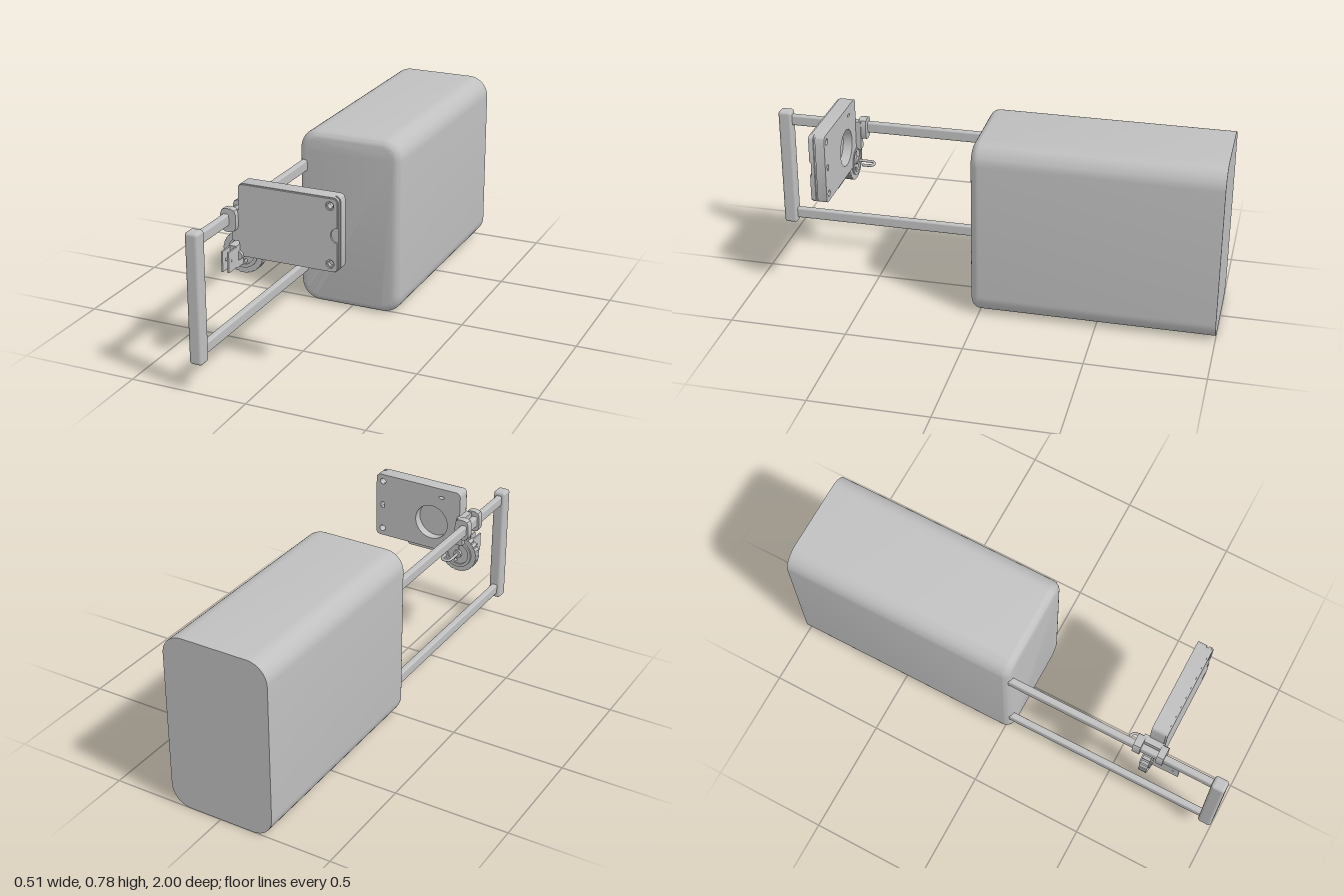
import * as THREE from 'three';
import { RoundedBoxGeometry } from 'three/addons/geometries/RoundedBoxGeometry.js';
import { toCreasedNormals } from 'three/addons/utils/BufferGeometryUtils.js';

// Points of a rounded rectangle, counter-clockwise
function roundedPoints(x0, x1, y0, y1, r, n = 10) {
  const corners = [[x1 - r, y1 - r], [x0 + r, y1 - r], [x0 + r, y0 + r], [x1 - r, y0 + r]];
  const pts = [];
  corners.forEach(([cx, cy], q) => {
    for (let i = 0; i <= n; i++) {
      const a = (q + i / n) * Math.PI / 2;
      pts.push(new THREE.Vector2(cx + r * Math.cos(a), cy + r * Math.sin(a)));
    }
  });
  return pts;
}

function circle(x, y, r) {
  return new THREE.Path().absarc(x, y, r, 0, Math.PI * 2, true);
}

// Body: rounded-rectangle sections with a filleted front and a flat back
function bodyGeometry(x0, x1, y0, y1, z0, z1, r, fillet) {
  const rings = [[0, z0], [0, z0 + 0.01]];
  for (let i = 0; i <= 8; i++) {
    const a = i / 8 * Math.PI / 2;
    rings.push([fillet * (1 - Math.cos(a)), z1 - fillet + fillet * Math.sin(a)]);
  }
  const pos = [], index = [];
  let n = 0;
  rings.forEach(([d, z]) => {
    const pts = roundedPoints(x0 + d, x1 - d, y0 + d, y1 - d, r - d);
    n = pts.length;
    pts.forEach(p => pos.push(p.x, p.y, z));
  });
  for (let k = 0; k < rings.length - 1; k++) {
    for (let i = 0; i < n; i++) {
      const a = k * n + i, b = k * n + (i + 1) % n;
      index.push(a, b, b + n, a, b + n, a + n);
    }
  }
  const last = (rings.length - 1) * n;
  for (let i = 1; i < n - 1; i++) {
    index.push(last, last + i, last + i + 1);
    index.push(0, i + 1, i);
  }
  const g = new THREE.BufferGeometry();
  g.setAttribute('position', new THREE.Float32BufferAttribute(pos, 3));
  g.setIndex(index);
  return toCreasedNormals(g, 0.6);
}

export function createModel() {
  const model = new THREE.Group();
  const grey = new THREE.MeshStandardMaterial({ color: 0xc0c0c0 });
  grey.name = 'light grey';

  const add = (name, geometry, parent = model) => {
    const mesh = new THREE.Mesh(geometry, grey);
    mesh.name = name;
    parent.add(mesh);
    return mesh;
  };
  const slab = (shape, z0, z1) => {
    const g = new THREE.ExtrudeGeometry(shape, { depth: z1 - z0, bevelEnabled: false, curveSegments: 24 });
    return toCreasedNormals(g.translate(0, 0, z0), 0.6);
  };
  const box = (name, x0, x1, y0, y1, z0, z1, r, parent) => {
    const w = x1 - x0, h = y1 - y0, d = z1 - z0;
    const g = r ? new RoundedBoxGeometry(w, h, d, 4, r) : new THREE.BoxGeometry(w, h, d);
    return add(name, g.translate((x0 + x1) / 2, (y0 + y1) / 2, (z0 + z1) / 2), parent);
  };
  const group = name => {
    const g = new THREE.Group();
    g.name = name;
    model.add(g);
    return g;
  };

  add('body', bodyGeometry(-0.24, 0.23, 0, 0.78, -1, 0.035, 0.088, 0.04));

  // Side frame: two rails and an upright
  const frame = group('frame');
  [['upperRail', 0.597, 0.645], ['lowerRail', 0.139, 0.187]].forEach(([name, y0, y1]) =>
    box(name, -0.227, -0.199, y0, y1, 0, 0.96, 0.008, frame));
  box('upright', -0.241, -0.185, 0.118, 0.663, 0.94, 1, 0.013, frame);

  // Case: stacked plates with screw holes, an edge groove and a rear recess
  const caseGroup = group('case');
  const X0 = -0.17, X1 = 0.253, Y0 = 0.468, Y1 = 0.77, HX = 0.22, HY = [0.502, 0.737];
  const plate = (holes, x1 = X1) => {
    const s = new THREE.Shape(roundedPoints(X0, x1, Y0, Y1, 0.02, 6));
    s.holes.push(...holes);
    return s;
  };
  const square = new THREE.Path(roundedPoints(0.211, 0.229, 0.607, 0.633, 0.003, 2).reverse());
  const slot = new THREE.Path(roundedPoints(-0.09, -0.065, 0.722, 0.734, 0.0055, 4).reverse());
  add('backPlate', slab(plate([circle(-0.03, 0.597, 0.08), square, slot, ...HY.map(y => circle(HX, y, 0.014))]),
    0.637, 0.677), caseGroup);
  add('middlePlate', slab(plate([circle(HX, HY[1], 0.011)], 0.245), 0.677, 0.685), caseGroup);
  add('frontPlate', slab(plate([circle(HX, HY[1], 0.011), circle(HX, HY[0], 0.011)]), 0.685, 0.699), caseGroup);

  // Front cover with a half-round thumb notch
  const cover = new THREE.Shape();
  const outline = roundedPoints(X0 + 0.003, X1 - 0.003, Y0 + 0.003, Y1 - 0.003, 0.018, 6);
  outline.forEach((p, i) => (i ? cover.lineTo(p.x, p.y) : cover.moveTo(p.x, p.y)));
  for (let i = 0; i <= 16; i++) {
    const a = -Math.PI / 2 - i / 16 * Math.PI;
    cover.lineTo(X1 - 0.003 + 0.027 * Math.cos(a), 0.62 + 0.03 * Math.sin(a));
  }
  cover.holes.push(...HY.map(y => circle(HX, y, 0.017)));
  add('frontCover', slab(cover, 0.699, 0.706), caseGroup);
  // Strip under the case
  add('lowerStrip', slab(new THREE.Shape(roundedPoints(-0.13, 0.09, 0.453, 0.475, 0.01, 5)), 0.645, 0.662), caseGroup);

  // Clamps around the upper rail
  const clamps = group('railClamps');
  [[0.593, 0.626], [0.698, 0.728]].forEach(([z0, z1]) => {
    const s = new THREE.Shape(roundedPoints(-0.236, -0.17, 0.572, 0.668, 0.022, 2));
    s.holes.push(new THREE.Path(roundedPoints(-0.227, -0.199, 0.597, 0.645, 0.006, 2).reverse()));
    add('clamp', slab(s, z0, z1), clamps);
  });
  box('clampBridge', -0.197, -0.165, 0.53, 0.66, 0.615, 0.705, 0, clamps);

  // Dial with a raised ring and a notched rim
  const dial = group('dial');
  const CX = -0.168, CY = 0.475;
  const disc = new THREE.Shape();
  for (let i = 0; i < 144; i++) {
    const a = i / 144 * Math.PI * 2, r = i % 6 === 0 ? 0.083 : 0.087;
    disc[i ? 'lineTo' : 'moveTo'](CX + r * Math.cos(a), CY + r * Math.sin(a));
  }
  disc.holes.push(circle(-0.157, 0.44, 0.007));
  add('disc', slab(disc, 0.641, 0.676), dial);
  const ring = new THREE.Shape().absarc(CX, CY, 0.064, 0, Math.PI * 2, false);
  ring.holes.push(circle(CX, CY, 0.05));
  add('frontRing', slab(ring, 0.675, 0.681), dial);
  add('rearRing', slab(ring, 0.634, 0.642), dial);
  add('hub', slab(new THREE.Shape().absarc(CX, CY, 0.018, 0, Math.PI * 2, false), 0.628, 0.72), dial);

  // Hook on the back of the dial
  const path = [[CX, 0.64], [CX, 0.575]];
  for (let i = 1; i <= 8; i++) {
    const a = Math.PI - i / 8 * Math.PI;
    path.push([CX + 0.021 + 0.021 * Math.cos(a), 0.573 - 0.021 * Math.sin(a)]);
  }
  path.push([CX + 0.042, 0.597]);
  const curve = new THREE.CatmullRomCurve3(path.map(([x, z]) => new THREE.Vector3(x, CY, z)));
  add('hook', new THREE.TubeGeometry(curve, 40, 0.006, 10), dial);
  add('hookTip', new THREE.SphereGeometry(0.006, 12, 8).translate(CX + 0.042, CY, 0.597), dial);

  // Forked bracket in front of the dial
  const bracket = group('bracket');
  box('bracketBase', -0.2, -0.166, 0.428, 0.52, 0.681, 0.735, 0, bracket);
  [-0.2, -0.173].forEach(x => box('bracketArm', x, x + 0.007, 0.432, 0.516, 0.73, 0.797, 0, bracket));
  const pin = add('bracketPin', new THREE.CylinderGeometry(0.006, 0.006, 0.036, 16), bracket);
  pin.rotation.z = Math.PI / 2;
  pin.position.set(-0.183, CY, 0.77);

  return model;
}
